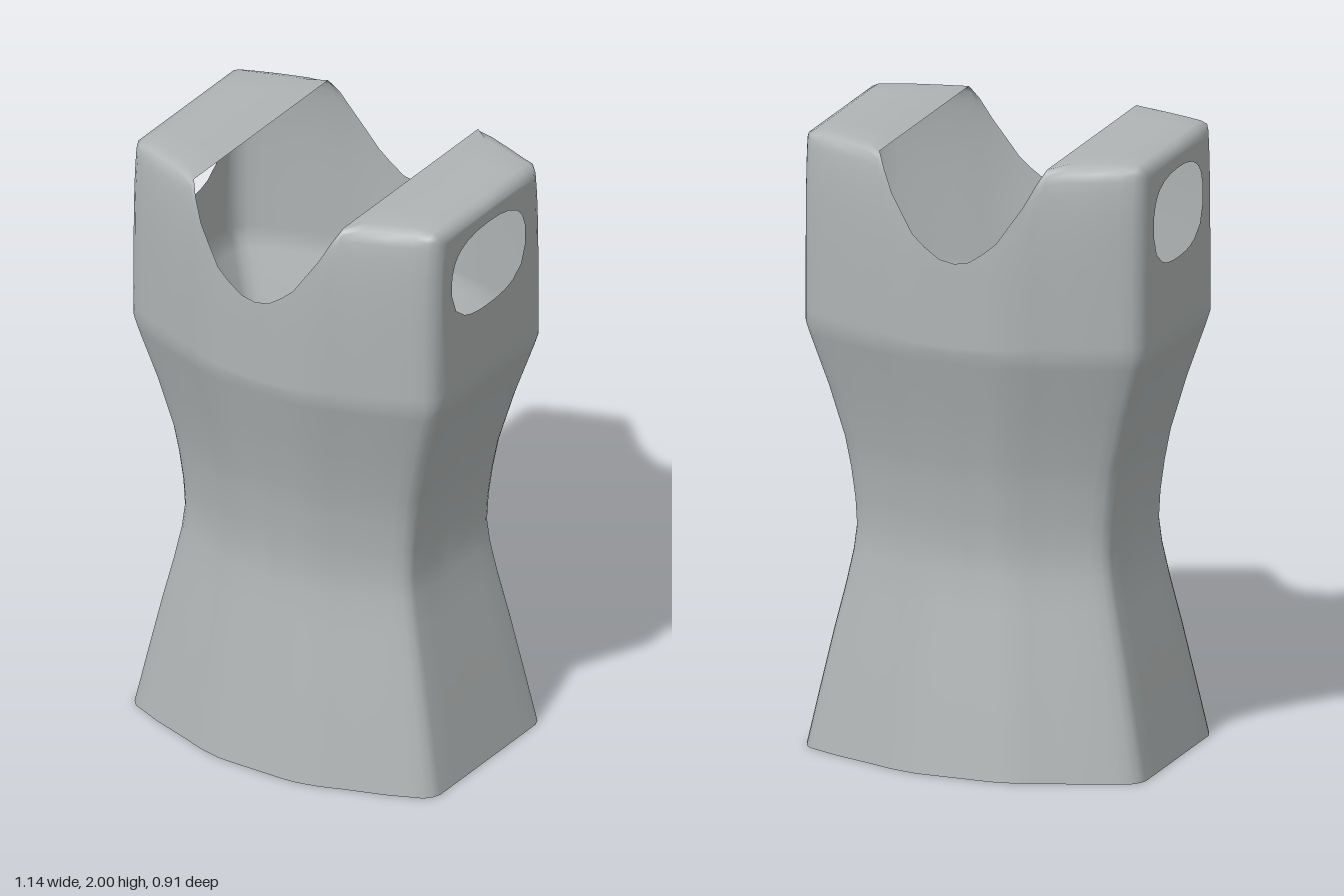
import * as THREE from 'three';
import { mergeVertices } from 'three/addons/utils/BufferGeometryUtils.js';

// Linear interpolation through [input, output] pairs
function lerpKeys(keys, v) {
  for (let i = 1; i < keys.length; i++) {
    const [a, p] = keys[i - 1], [b, q] = keys[i];
    if (v <= b) return p + (q - p) * Math.max(0, (v - a) / (b - a));
  }
  return keys[keys.length - 1][1];
}

// Columns across the front, centre to side: x, z, top edge height (neckline, then shoulder)
const COLUMNS = [
  [0, 0.457, 1.67], [0.05, 0.457, 1.68], [0.1, 0.457, 1.715], [0.14, 0.455, 1.75],
  [0.18, 0.447, 1.81], [0.22, 0.437, 1.87], [0.255, 0.425, 1.94], [0.28, 0.415, 1.985],
  [0.34, 0.395, 1.997], [0.43, 0.365, 2], [0.5, 0.335, 2], [0.54, 0.318, 1.995],
  [0.56, 0.295, 1.985], [0.57, 0.27, 1.965],
];
const CHEST_Y = 1.38, SIDE_X = 0.57, SIDE_Z = 0.27;
const ACROSS = [1, 0.67, 0.33, 0];            // steps from the front edge to the side centre
const RISE = [0, 0.06, 0.25, 0.45, 0.62, 0.76, 0.86, 0.92, 0.96, 0.98, 1];
// Hourglass scale of the body by height
const WAIST = [[0, 0.995], [0.18, 0.93], [0.37, 0.86], [0.52, 0.8], [0.63, 0.762], [0.71, 0.746],
  [0.8, 0.754], [0.9, 0.775], [1, 0.805], [1.17, 0.885], [1.34, 0.98], [CHEST_Y, 1]];
// Depth scale of the upper front as it rolls over the shoulder
const ROLL = [[1.65, 1], [1.75, 0.995], [1.87, 0.98], [1.965, 0.945], [1.985, 0.91], [2, 0.8]];

// One quarter of the garment as grids of points, rows running upward
function quarterGrids() {
  const outline = [...COLUMNS.map(([x, z]) => [x, z]), ...ACROSS.slice(1).map(f => [SIDE_X, SIDE_Z * f])];
  const body = WAIST.map(([y, s]) => outline.map(([x, z]) => [x * s, y, z * s]));

  const chest = RISE.map(t => COLUMNS.map(([x, z, top]) => {
    const y = CHEST_Y + (top - CHEST_Y) * t;
    return [x, y, z * lerpKeys(ROLL, y)];
  }));

  const edge = chest[chest.length - 1].slice(7);
  const shoulder = ACROSS.map(f => edge.map(([x, y, z]) => [x, y, z * f]));

  // Side panel: from the armhole out to its bottom, front and top borders
  const last = COLUMNS.length - 1;
  const topCorner = chest[RISE.length - 1][last];
  const border = [
    ...[...ACROSS].reverse().map(f => [SIDE_X, CHEST_Y, SIDE_Z * f]),
    ...chest.slice(1).map(row => row[last]),
    ...ACROSS.slice(1).map(f => [SIDE_X, topCorner[1], topCorner[2] * f]),
  ];
  const holeY = 1.775, n = 2.6;
  const hole = border.map(([x, y, z]) => {
    const dy = y - holeY;
    const r = (Math.abs(z / 0.207) ** n + Math.abs(dy / 0.145) ** n) ** (-1 / n);
    return [x, holeY + dy * r, z * r];
  });
  const side = [0, 0.4, 0.8, 1].map(t => border.map((p, j) => p.map((v, k) => hole[j][k] + (v - hole[j][k]) * t)));

  return [body, chest, shoulder, side];
}

// Mirror the quarter to all four corners and weld it into one smooth shell
function garmentGeometry() {
  const positions = [];
  const grids = quarterGrids();
  for (const sx of [1, -1]) for (const sz of [1, -1]) {
    const flip = sx * sz < 0;
    const put = (...pts) => {
      if (flip) pts.reverse();
      for (const [x, y, z] of pts) positions.push(x * sx + 0, y, z * sz + 0);
    };
    for (const grid of grids) {
      for (let i = 0; i < grid.length - 1; i++) {
        for (let j = 0; j < grid[i].length - 1; j++) {
          const a = grid[i][j], b = grid[i][j + 1], c = grid[i + 1][j + 1], d = grid[i + 1][j];
          put(a, b, c);
          put(a, c, d);
        }
      }
    }
  }
  const geometry = new THREE.BufferGeometry();
  geometry.setAttribute('position', new THREE.Float32BufferAttribute(positions, 3));
  const welded = mergeVertices(geometry, 1e-4);
  welded.computeVertexNormals();
  return welded;
}

export function createModel() {
  const group = new THREE.Group();
  group.name = 'sleevelessTop';
  const fabric = new THREE.MeshStandardMaterial({ color: 0xb0b4b4, side: THREE.DoubleSide });
  fabric.name = 'greyFabric';
  const shell = new THREE.Mesh(garmentGeometry(), fabric);
  shell.name = 'garmentShell';
  group.add(shell);
  return group;
}
